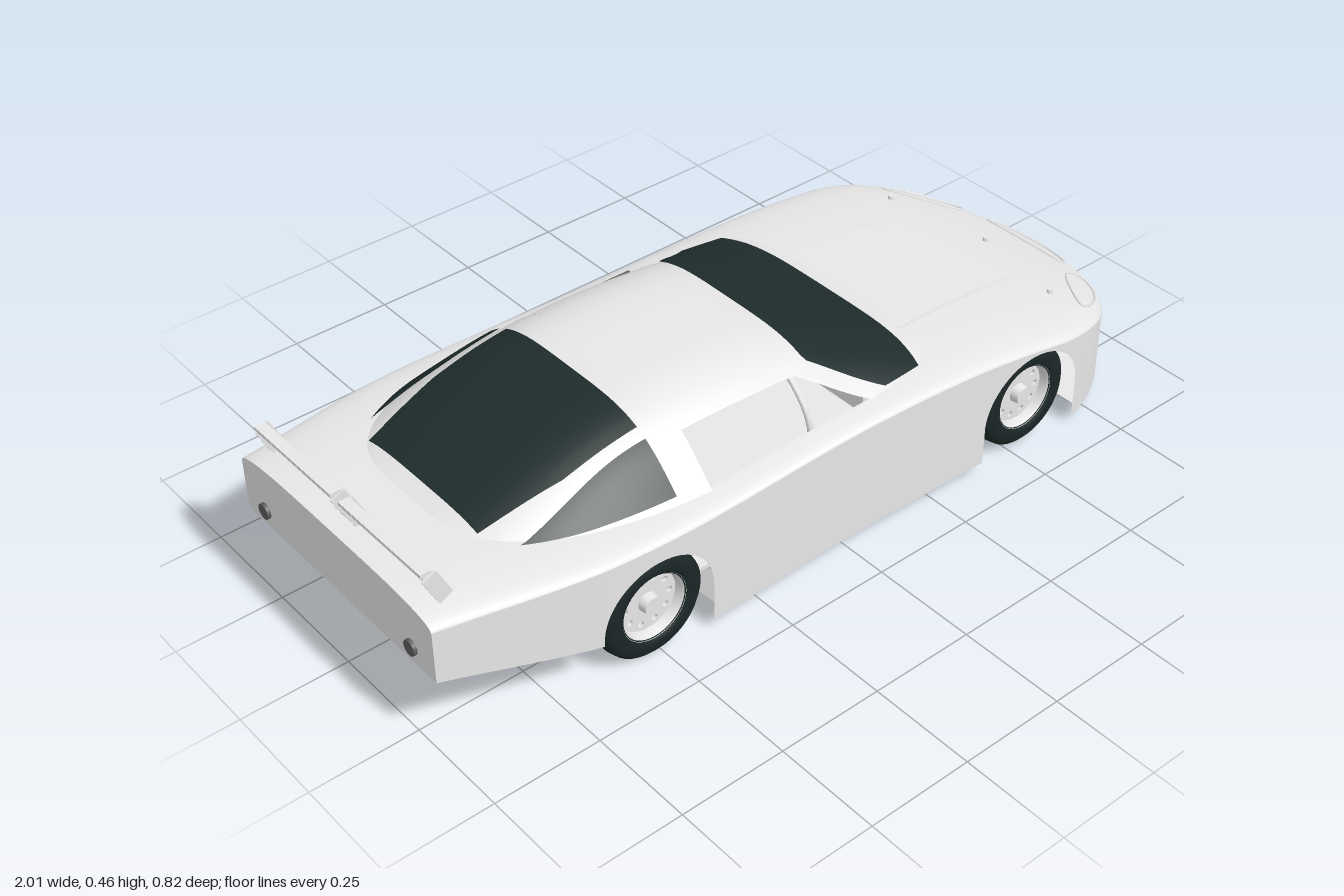
import * as THREE from 'three';

const mat = (name, color) => {
  const m = new THREE.MeshStandardMaterial({ color, side: THREE.DoubleSide });
  m.name = name;
  return m;
};

// Smooth curve y(x) through a few points
function curve(p) {
  const n = p.length - 1;
  const slope = i => {
    const a = p[Math.max(i - 1, 0)], b = p[Math.min(i + 1, n)];
    return (b[1] - a[1]) / (b[0] - a[0]);
  };
  return x => {
    let i = 0;
    while (i < n - 1 && x > p[i + 1][0]) i++;
    const d = p[i + 1][0] - p[i][0], t = Math.min(1, Math.max(0, (x - p[i][0]) / d));
    const t2 = t * t, t3 = t2 * t;
    return (2 * t3 - 3 * t2 + 1) * p[i][1] + (t3 - 2 * t2 + t) * d * slope(i)
      + (3 * t2 - 2 * t3) * p[i + 1][1] + (t3 - t2) * d * slope(i + 1);
  };
}
const lerp = THREE.MathUtils.lerp;

// Grid surface: fn(u, v) gives [x, y, z]
function sheet(nu, nv, fn) {
  const pos = [], idx = [];
  for (let i = 0; i <= nu; i++) for (let j = 0; j <= nv; j++) pos.push(...fn(i / nu, j / nv));
  for (let i = 0; i < nu; i++) for (let j = 0; j < nv; j++) {
    const a = i * (nv + 1) + j, b = a + nv + 1;
    idx.push(a, a + 1, b, b, a + 1, b + 1);
  }
  const g = new THREE.BufferGeometry();
  g.setAttribute('position', new THREE.Float32BufferAttribute(pos, 3));
  g.setIndex(idx);
  g.computeVertexNormals();
  return g;
}

// Body plan, deck heights and lower edge, all along x
const plan = curve([[-1, 0.335], [-0.6, 0.4], [0, 0.395], [0.3, 0.4], [0.62, 0.412]]);
const halfW = x => x < 0.62 ? plan(x) : 0.412 * Math.sqrt(Math.max(0, 1 - ((x - 0.62) / 0.38) ** 2));
const noseX = z => 0.62 + 0.38 * Math.sqrt(1 - (z / 0.412) ** 2);
const deckC = curve([[-1, 0.345], [-0.8, 0.338], [-0.4, 0.325], [0.1, 0.325], [0.34, 0.316], [0.5, 0.3],
  [0.7, 0.268], [0.8, 0.24], [0.9, 0.2], [0.96, 0.17], [1, 0.145]]);
const deckY = (x, q) => deckC(x) - 0.03 + 0.03 * Math.sqrt(Math.max(0, 1 - q ** 4));
const arches = [[-0.515, 0.122, 0.136], [0.54, 0.112, 0.143]];
function lowerY(x) {
  let y = x < -0.6 ? lerp(0.1, 0.19, (-0.6 - x) / 0.4) : x < 0.6 ? 0.027 : 0.02;
  for (const [cx, cy, r] of arches) {
    const d = Math.abs(x - cx);
    if (d <= r) y = Math.max(y, cy + Math.sqrt(r * r - d * d));
  }
  return y;
}

// Cabin shell: q runs across the car from -1 to 1
const BELT = 0.308, OPEN = 0.71;
const roofY = curve([[-0.86, 0.325], [-0.8, 0.348], [-0.7, 0.386], [-0.6, 0.418], [-0.5, 0.443], [-0.4, 0.456],
  [-0.3, 0.46], [-0.2, 0.457], [-0.1, 0.449], [0, 0.432], [0.1, 0.397], [0.2, 0.361], [0.3, 0.326], [0.36, BELT]]);
const cabinW = curve([[-0.86, 0.24], [-0.7, 0.31], [-0.6, 0.338], [-0.4, 0.36], [0, 0.362], [0.15, 0.355], [0.36, 0.33]]);
const cabin = (x, q, lift = 0) => [x,
  BELT + (roofY(x) - BELT) * Math.pow(Math.max(0, 1 - q ** 4), 1.4) + lift,
  cabinW(x) * q + lift * q];
const across = v => Math.sin((v - 0.5) * Math.PI);
const openEnd = q => -0.04 + 0.17 * Math.max(0, (Math.abs(q) - OPEN) / (1 - OPEN));

export function createModel() {
  const car = new THREE.Group();
  car.name = 'stockCar';
  const paint = mat('paleGreyPaint', 0xeeeeee), glass = mat('darkGlass', 0x1f2c2c);
  const rubber = mat('blackRubber', 0x1b2626), under = mat('chassisGrey', 0x909090);
  const panGrey = mat('lightChassisGrey', 0xb8b8b8), netMat = mat('netGrey', 0x5c5c5c);
  const add = (name, geo, m = paint, parent = car) => {
    const o = new THREE.Mesh(geo, m);
    o.name = name;
    parent.add(o);
    return o;
  };
  const box = (name, w, h, d, x, y, z) => {
    const o = add(name, new THREE.BoxGeometry(w, h, d));
    o.position.set(x, y, z);
    return o;
  };
  const tube = (name, pts, r, m, closed = false, n = 40) => add(name, new THREE.TubeGeometry(
    new THREE.CatmullRomCurve3(pts.map(p => new THREE.Vector3(...p)), closed), n, r, 6, closed), m);

  // Side panels with wheel arches, running round to the nose
  const xs = [];
  for (let i = 0; i <= 40; i++) xs.push(-1 + 1.6 * i / 40, 1 - 0.4 * (i / 40) ** 2);
  for (const [cx, , r] of arches) {
    for (let i = 0; i <= 32; i++) xs.push(cx + r * Math.cos(Math.PI * i / 32));
    xs.push(cx - r - 0.0005, cx + r + 0.0005);
  }
  xs.sort((a, b) => a - b);
  for (const s of [1, -1]) add('sidePanel', sheet(xs.length - 1, 8, (u, v) => {
    const x = xs[Math.round(u * (xs.length - 1))];
    return [x, lerp(lowerY(x), deckC(x) - 0.03, s > 0 ? 1 - v : v), s * halfW(x)];
  }));

  // Deck: tail, hood and the two belt strips beside the cabin
  const deck = (name, x0, x1, bend) => add(name, sheet(40, 40, (u, v) => {
    const x = lerp(x0, x1, bend ? 1 - (1 - u) ** 2 : u), q = across(v);
    return [x, deckY(x, q), halfW(x) * q];
  }));
  deck('tailDeck', -1, -0.37);
  deck('hood', 0.1, 1, true);
  for (const s of [1, -1]) add('beltStrip', sheet(20, 10, (u, v) => {
    const x = lerp(-0.37, 0.1, u), q = Math.sin(lerp(1.03, Math.PI / 2, s > 0 ? v : 1 - v));
    return [x, deckY(x, q), s * halfW(x) * q];
  }));
  add('tailPanel', sheet(30, 4, (u, v) => {
    const q = across(u);
    return [-1, lerp(deckY(-1, q), 0.19, v), 0.335 * q];
  }));

  // Raised creases along the hood
  for (const s of [1, -1]) tube('hoodCrease', [0.32, 0.42, 0.52, 0.62, 0.7].map(x => {
    const z = s * lerp(0.2, 0.17, (x - 0.32) / 0.38);
    return [x, deckY(x, z / halfW(x)), z];
  }), 0.003, paint);

  // Cabin skin with open side windows
  add('rearCabin', sheet(30, 48, (u, v) => cabin(lerp(-0.86, -0.34, u), across(v))));
  add('roof', sheet(20, 32, (u, v) => cabin(lerp(-0.34, -0.04, u), lerp(-OPEN, OPEN, v))));
  add('windshieldFrame', sheet(30, 64, (u, v) => {
    const q = across(v);
    return cabin(lerp(openEnd(q), 0.35, u), q);
  }));

  // Glass
  add('windshield', sheet(30, 56, (u, v) => {
    const q = across(v) * 0.93, a = Math.abs(q);
    return cabin(lerp(0.005 + 0.145 * Math.max(0, (a - 0.65) / 0.28), 0.288 - 0.04 * a ** 4, u), q, 0.005);
  }), glass);
  add('rearWindow', sheet(30, 24, (u, v) => {
    const x = lerp(-0.79, -0.42, u);
    return cabin(x, lerp(-1, 1, v) * lerp(0.185, 0.215, Math.min(1, u * 2)) / cabinW(x), 0.005);
  }), glass);
  for (const s of [1, -1]) add('quarterWindow', sheet(24, 12, (u, v) => {
    const x = lerp(-0.42, -0.74, u), f = 0.02 / (roofY(x) - BELT);
    const low = (1 - f ** (1 / 1.4)) ** 0.25, high = Math.min(low, 0.67 + 0.2 * u * u);
    return cabin(x, s * lerp(low, high, s > 0 ? v : 1 - v), 0.005);
  }), glass);

  // Underbody in four lengths
  const panY = curve([[-0.98, 0.19], [-0.65, 0.12], [-0.4, 0.055], [-0.3, 0.045], [0.9, 0.035], [0.98, 0.03]]);
  const pan = (name, x0, x1, m) => add(name, sheet(40, 4, (u, v) => {
    const x = lerp(x0, x1, u);
    const nearWheel = arches.some(([cx, , r]) => Math.abs(x - cx) < r + 0.01);
    return [x, panY(x), lerp(1, -1, v) * (nearWheel ? 0.25 : halfW(x) * 0.97)];
  }), m);
  pan('tailPan', -0.97, -0.65, paint);
  pan('rearPan', -0.65, -0.3, panGrey);
  pan('floorPan', -0.3, 0.7, under);
  pan('nosePan', 0.7, 0.98, paint);
  box('tailBar', 0.12, 0.02, 0.4, -0.86, 0.143, 0);
  for (const s of [1, -1]) {
    box('frameRail', 0.3, 0.02, 0.025, -0.78, 0.135, s * 0.2).rotation.z = -0.2;
    const pipe = add('tailPipe', new THREE.CylinderGeometry(0.018, 0.018, 0.02, 16), netMat);
    pipe.rotation.z = Math.PI / 2;
    pipe.position.set(-0.998, 0.23, s * 0.26);
  }

  // Wheels
  const V = (x, y) => new THREE.Vector2(x, y);
  const tireGeo = new THREE.LatheGeometry([V(0.078, -0.055), V(0.09, -0.062), V(0.112, -0.06), V(0.124, -0.05),
    V(0.128, -0.03), V(0.128, 0.03), V(0.124, 0.05), V(0.112, 0.06), V(0.09, 0.062), V(0.078, 0.055)], 40);
  const rimGeo = new THREE.LatheGeometry([V(0.08, -0.055), V(0.072, -0.02), V(0.07, 0.02), V(0.074, 0.05), V(0.081, 0.057)], 40);
  const disc = new THREE.Shape().absarc(0, 0, 0.072, 0, Math.PI * 2);
  for (let i = 0; i < 10; i++) {
    const a = i * Math.PI / 5;
    disc.holes.push(new THREE.Path().absarc(0.056 * Math.cos(a), 0.056 * Math.sin(a), 0.007, 0, Math.PI * 2, true));
  }
  const discGeo = new THREE.ExtrudeGeometry(disc, { depth: 0.008, bevelEnabled: false, curveSegments: 24 });
  for (const x of [-0.517, 0.542]) for (const s of [1, -1]) {
    const wheel = new THREE.Group();
    wheel.name = 'wheel';
    wheel.position.set(x, 0.128, s * 0.328);
    wheel.rotation.y = s > 0 ? 0 : Math.PI;
    add('tire', tireGeo, rubber, wheel).rotation.x = Math.PI / 2;
    add('rim', rimGeo, paint, wheel).rotation.x = Math.PI / 2;
    add('wheelDisc', discGeo, paint, wheel).position.z = 0.025;
    const hub = add('hub', new THREE.CylinderGeometry(0.02, 0.024, 0.025, 20), paint, wheel);
    hub.rotation.x = Math.PI / 2;
    hub.position.z = 0.04;
    car.add(wheel);
  }

  // Tail spoiler in two halves with end plates
  for (const s of [1, -1]) {
    box('spoilerBlade', 0.008, 0.08, 0.275, -0.962, 0.381, s * 0.152).rotation.z = 0.5;
    box('spoilerLip', 0.025, 0.008, 0.275, -0.972, 0.414, s * 0.152);
    for (const z of [0.016, 0.292]) box('spoilerEnd', 0.035, 0.075, 0.006, -0.952, 0.375, s * z).rotation.z = 0.45;
  }

  // Grille and headlamp outlines lying on the nose
  const outline = (name, zc, rz, d0, rd) => tube(name, Array.from({ length: 20 }, (_, i) => {
    const a = i * Math.PI / 10, z = zc + rz * Math.cos(a), x = noseX(z) - d0 - rd * Math.sin(a);
    return [x, deckY(x, z / halfW(x)) + 0.001, z];
  }), 0.003, paint, true, 60);
  outline('grilleRim', 0, 0.123, 0.04, 0.026);
  for (const s of [1, -1]) outline('headlampRim', s * 0.255, 0.075, 0.06, 0.04);
  const slot = new THREE.Shape([V(-0.021, -0.013), V(0.021, -0.013), V(0.021, 0.013), V(-0.021, 0.013)]);
  slot.holes.push(new THREE.Path([V(-0.017, -0.01), V(-0.017, 0.01), V(0.017, 0.01), V(0.017, -0.01)]));
  const slotGeo = new THREE.ExtrudeGeometry(slot, { depth: 0.008, bevelEnabled: false });
  for (let i = 0; i < 6; i++) {
    const z = (i - 2.5) * 0.049, o = add('lowerVent', slotGeo);
    o.position.set(noseX(z) - 0.006, 0.047, z);
    o.rotation.y = Math.PI / 2 - Math.atan(z * 2.1);
  }

  // Hood pins
  for (const [x, z] of [[0.8, 0], [0.74, 0.26], [0.74, -0.26]]) {
    const o = add('hoodPin', new THREE.CylinderGeometry(0.006, 0.008, 0.012, 10));
    o.position.set(x, deckY(x, z / halfW(x)) + 0.004, z);
  }

  // Interior: floor, dash, seat and roll cage
  box('cabinFloor', 0.7, 0.01, 0.72, -0.05, 0.13, 0);
  box('dash', 0.06, 0.05, 0.62, 0.14, 0.28, 0);
  box('seatBase', 0.14, 0.05, 0.15, -0.17, 0.17, -0.16);
  box('seatBack', 0.04, 0.23, 0.15, -0.26, 0.275, -0.16).rotation.z = 0.15;
  for (const x of [-0.36, -0.03]) tube('rollHoop', [[x, 0.13, 0.31], [x, 0.3, 0.295], [x, 0.38, 0.225], [x, 0.41, 0.15],
    [x, 0.41, -0.15], [x, 0.38, -0.225], [x, 0.3, -0.295], [x, 0.13, -0.31]], 0.008, paint);
  for (const s of [1, -1]) tube('doorBar', [[-0.36, 0.26, s * 0.31], [-0.2, 0.26, s * 0.35], [0.12, 0.25, s * 0.33]], 0.008, paint);

  // Window net over the driver's opening
  const netPt = (x, t) => [x, lerp(0.312, 0.405, t), lerp(-0.335, -0.25, t)];
  for (let i = 0; i <= 11; i++) {
    const x = lerp(-0.32, -0.07, i / 11);
    tube('netStrap', [netPt(x, 0), netPt(x, 1)], 0.004, netMat, false, 1);
  }
  for (let i = 0; i <= 5; i++) tube('netStrap', [netPt(-0.32, i / 5), netPt(-0.07, i / 5)], 0.004, netMat, false, 1);
  return car;
}
